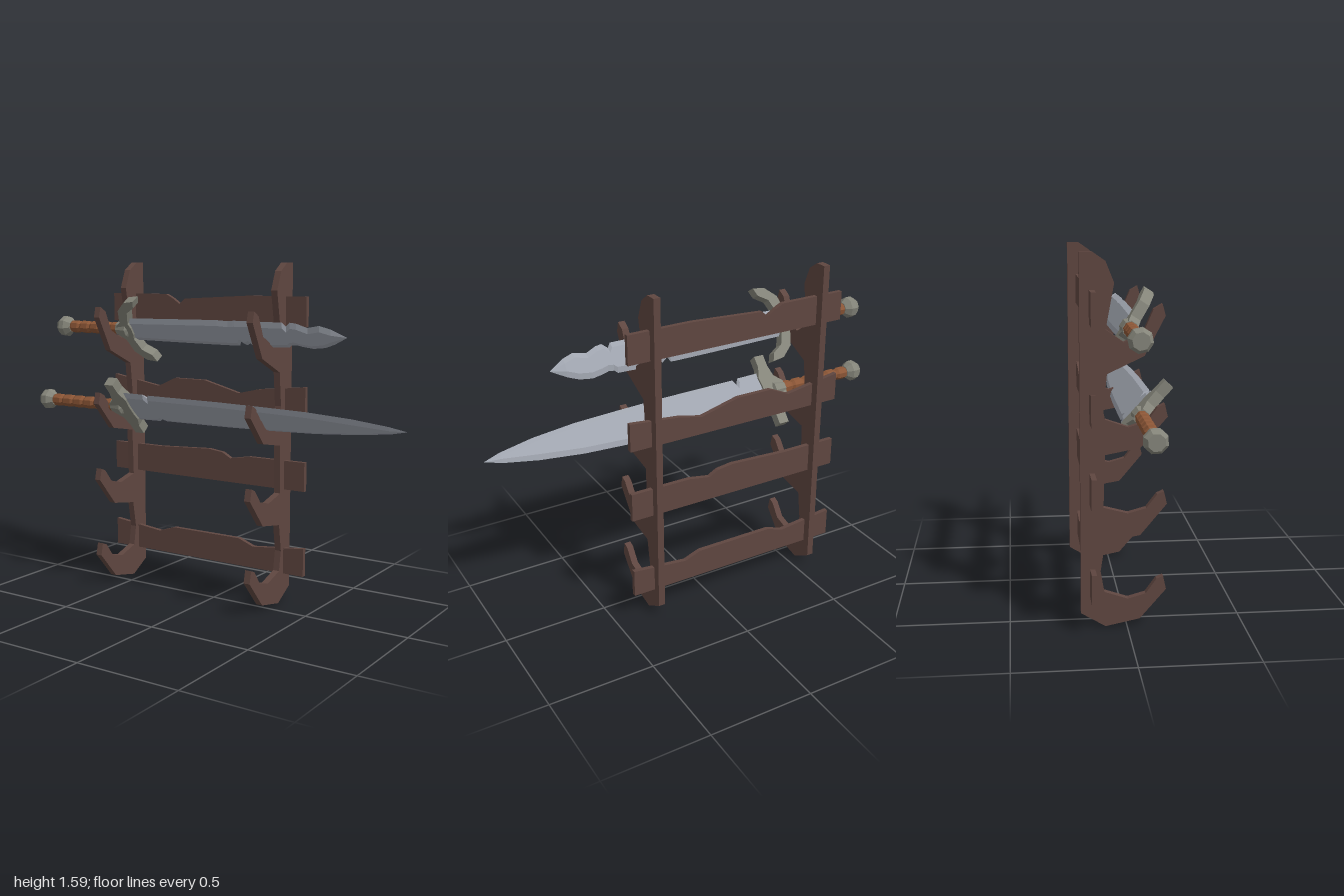
import * as THREE from 'three';

const mat = (name, color) => {
  const m = new THREE.MeshStandardMaterial({ color });
  m.name = name;
  return m;
};

// Faceted normals for a low-poly look
const facet = (geo) => {
  const g = geo.index ? geo.toNonIndexed() : geo;
  g.computeVertexNormals();
  return g;
};

const addMesh = (parent, name, geo, material) => {
  const m = new THREE.Mesh(facet(geo), material);
  m.name = name;
  parent.add(m);
  return m;
};

// Flat outline extruded symmetrically about its own plane
const plate = (points, depth) => {
  const shape = new THREE.Shape(points.map(([x, y]) => new THREE.Vector2(x, y)));
  return new THREE.ExtrudeGeometry(shape, { depth, bevelEnabled: false }).translate(0, 0, -depth / 2);
};

// Lathe turned to run along x; points are [x, radius]
const turned = (points, sides) =>
  new THREE.LatheGeometry(points.map(([x, r]) => new THREE.Vector2(r, x)), sides, Math.PI / sides).rotateZ(-Math.PI / 2);

// Hexagonal blade section lofted along stations [x, top, bottom]
function bladeGeometry(stations, bevel, t) {
  const pos = [], idx = [], n = 6;
  for (const [x, top, bot] of stations) {
    const b = Math.min(bevel, (top - bot) * 0.35);
    const k = t * Math.min(1, (top - bot) / 0.07);
    for (const [y, z] of [[top, 0], [top - b, k], [bot + b, k], [bot, 0], [bot + b, -k], [top - b, -k]]) pos.push(x, y, z);
  }
  for (let i = 0; i < stations.length - 1; i++) {
    for (let j = 0; j < n; j++) {
      const a = i * n + j, b = i * n + (j + 1) % n;
      idx.push(a, b, a + n, b, b + n, a + n);
    }
  }
  for (let j = 1; j < n - 1; j++) idx.push(0, j + 1, j);
  const g = new THREE.BufferGeometry();
  g.setAttribute('position', new THREE.Float32BufferAttribute(pos, 3));
  g.setIndex(idx);
  return g;
}

export function createModel() {
  const wood = mat('dark wood', 0x5f4640);
  const steel = mat('blade steel', 0xa0a5af);
  const iron = mat('guard iron', 0x85857a);
  const leather = mat('grip leather', 0x8c5636);
  const model = new THREE.Group();
  model.name = 'swordRack';

  // Uprights with four hooks, outline in [z, y]
  const upright = [
    [-0.197, 0.063], [-0.197, 1.592], [-0.143, 1.592], [-0.09, 1.555], [-0.055, 1.468], [-0.09, 1.28],
    [-0.015, 1.226], [0.065, 1.268], [0.105, 1.36], [0.142, 1.382], [0.155, 1.333], [0.07, 1.17], [-0.085, 1.097],
    [-0.1, 0.94], [-0.093, 0.907], [0.004, 0.873], [0.08, 0.895], [0.125, 0.955], [0.155, 0.97], [0.168, 0.915], [0.055, 0.785], [-0.093, 0.757],
    [-0.1, 0.53], [0.004, 0.502], [0.08, 0.523], [0.126, 0.582], [0.155, 0.595], [0.168, 0.54], [0.055, 0.405], [-0.093, 0.38],
    [-0.113, 0.25], [-0.097, 0.156], [0.004, 0.122], [0.08, 0.143], [0.126, 0.207], [0.155, 0.219], [0.168, 0.16], [0.055, 0.03], [-0.092, 0],
  ];
  for (const [name, x] of [['rightUpright', -0.572], ['leftUpright', 0.288]]) {
    const m = addMesh(model, name, plate(upright, 0.032), wood);
    m.rotation.y = -Math.PI / 2;
    m.position.x = x;
  }

  // Cross slats with worn upper edges: bottom height, then the top edge
  const slats = [
    [0.135, [[-0.695, 0.27], [-0.42, 0.24], [-0.33, 0.27], [0.055, 0.27], [0.135, 0.24], [0.41, 0.27]]],
    [0.543, [[-0.695, 0.68], [-0.41, 0.68], [-0.12, 0.695], [-0.04, 0.685], [0.005, 0.66], [0.11, 0.678], [0.41, 0.68]]],
    [0.895, [[-0.695, 1.03], [-0.42, 0.985], [-0.32, 1.03], [-0.145, 1.03], [0.05, 0.98], [0.16, 1.005], [0.41, 1.03]]],
    [1.303, [[-0.695, 1.44], [-0.37, 1.44], [-0.33, 1.42], [-0.29, 1.393], [-0.26, 1.42], [0.1, 1.44], [0.41, 1.44]]],
  ];
  for (const [bottom, top] of slats) {
    const m = addMesh(model, 'slat', plate([[-0.695, bottom], [0.41, bottom], ...[...top].reverse()], 0.022), wood);
    m.position.z = -0.147;
  }

  // A sword lies along x, with its width tilted towards the front
  function sword(name, y, z, tilt, pommelX, bands, gripEnd, guard, stations) {
    const s = new THREE.Group();
    s.name = name;
    s.position.set(0, y, z);
    s.rotation.x = tilt;
    model.add(s);
    addMesh(s, 'blade', bladeGeometry(stations, 0.024, 0.013), steel);
    addMesh(s, 'guard', plate([...guard, ...guard.map(([x, v]) => [x, -v]).reverse()], 0.048), iron);
    addMesh(s, 'guardCollar', turned([[gripEnd - 0.02, 0], [gripEnd - 0.02, 0.034], [gripEnd + 0.04, 0.042], [gripEnd + 0.06, 0]], 8), iron);
    addMesh(s, 'pommel', turned([[0, 0], [0, 0.036], [0.022, 0.051], [0.048, 0.051], [0.075, 0.03], [0.075, 0]]
      .map(([x, r]) => [pommelX + x, r]), 8), iron);
    // Wrapped grip: bulging bands with narrow grooves
    const start = pommelX + 0.07, step = (gripEnd - start) / bands;
    const grip = [[start, 0]];
    for (let i = 0; i < bands; i++) {
      const x = start + i * step;
      grip.push([x, 0.023], [x + step * 0.2, 0.031], [x + step * 0.8, 0.031]);
    }
    grip.push([gripEnd, 0.023], [gripEnd, 0]);
    addMesh(s, 'grip', turned(grip, 8), leather);
  }

  // Upper sword: curved guard and a chipped blade
  sword('upperSword', 1.275, 0.016, 0.575, -0.917, 5, -0.525,
    [[-0.54, 0.025], [-0.505, 0.05], [-0.485, 0.12], [-0.43, 0.168], [-0.37, 0.176], [-0.385, 0.138], [-0.435, 0.108], [-0.458, 0.045], [-0.45, 0.02]],
    [
      [-0.48, 0.062, -0.065], [-0.1, 0.068, -0.07], [0.05, 0.07, -0.071], [0.107, 0.066, -0.071], [0.13, 0.069, -0.07],
      [0.143, 0.07, -0.048], [0.17, 0.07, -0.066], [0.19, 0.07, -0.055], [0.215, 0.07, -0.077], [0.24, 0.069, -0.06],
      [0.28, 0.069, -0.071], [0.39, 0.069, -0.068], [0.405, 0.048, -0.055], [0.43, 0.07, -0.052], [0.46, 0.066, -0.06],
      [0.51, 0.045, -0.068], [0.57, 0.058, -0.06], [0.62, 0.042, -0.04], [0.69, 0, 0],
    ]);

  // Lower sword: straight block guard and a long tapering blade
  sword('lowerSword', 0.903, 0.066, 0.745, -1.0, 6, -0.525,
    [[-0.545, 0.03], [-0.505, 0.065], [-0.492, 0.12], [-0.492, 0.178], [-0.44, 0.178], [-0.44, 0.12], [-0.42, 0.07], [-0.425, 0.03]],
    [
      [-0.46, 0.1, -0.098], [-0.32, 0.098, -0.095], [-0.305, 0.07, -0.093], [-0.29, 0.094, -0.078], [-0.265, 0.094, -0.092],
      [0.1, 0.09, -0.09], [0.33, 0.083, -0.084], [0.55, 0.074, -0.074], [0.76, 0.053, -0.052], [0.92, 0.024, -0.024], [0.997, 0, 0],
    ]);

  return model;
}
